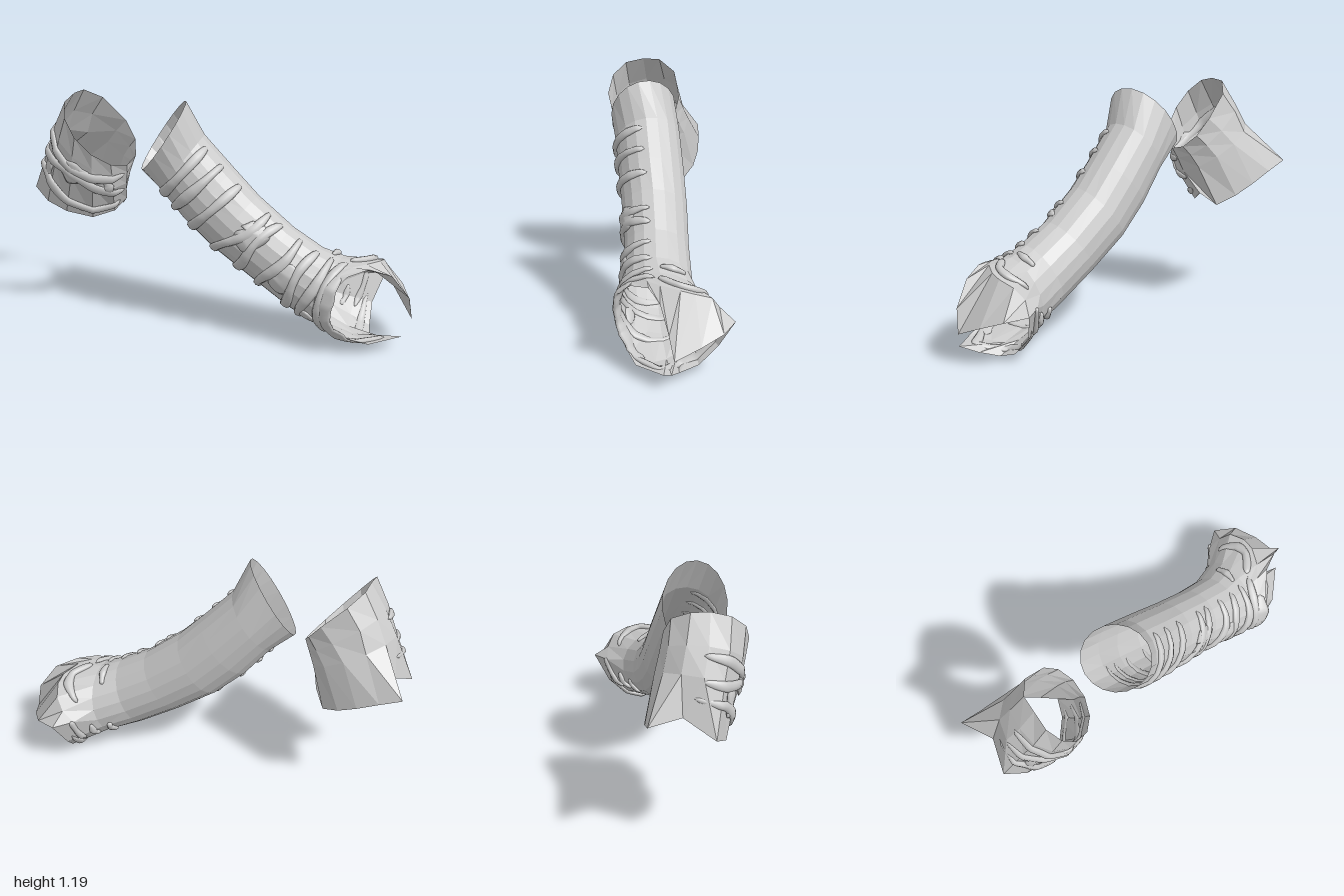
import * as THREE from 'three';

const V = (p) => new THREE.Vector3(...p);
const clothMat = new THREE.MeshStandardMaterial({ color: 0xcccccc, flatShading: true, side: THREE.DoubleSide });
const cordMat = new THREE.MeshStandardMaterial({ color: 0xcccccc, side: THREE.DoubleSide });

// Elliptical ring from a centre and two half-axes
function ring(n, c, u, w) {
  return Array.from({ length: n }, (_, i) => {
    const a = (i / n) * Math.PI * 2;
    return V(c).addScaledVector(V(u), Math.cos(a)).addScaledVector(V(w), Math.sin(a));
  });
}

// Grid of point rows to a mesh; rows wrap around
function loft(rows, mat, name) {
  const n = rows[0].length, pos = [], idx = [];
  rows.forEach((r) => r.forEach((p) => pos.push(p.x, p.y, p.z)));
  for (let j = 0; j < rows.length - 1; j++) {
    for (let i = 0; i < n; i++) {
      const a = j * n + i, b = j * n + ((i + 1) % n);
      idx.push(a, a + n, b, b, a + n, b + n);
    }
  }
  const g = new THREE.BufferGeometry();
  g.setAttribute('position', new THREE.Float32BufferAttribute(pos, 3));
  g.setIndex(idx);
  g.computeVertexNormals();
  const m = new THREE.Mesh(g, mat);
  m.name = name;
  return m;
}

// Point on a sleeve at ring position t and angle a in degrees
function surface(rows) {
  const n = rows[0].length;
  return (t, a) => {
    t = Math.min(Math.max(t, 0), rows.length - 1);
    const j = Math.min(Math.floor(t), rows.length - 2);
    const k = (((a / 360) * n) % n + n) % n, i = Math.floor(k) % n, f = k - Math.floor(k);
    const at = (r) => r[i].clone().lerp(r[(i + 1) % n], f);
    return at(rows[j]).lerp(at(rows[j + 1]), t - j);
  };
}

function middle(row) {
  return row.reduce((s, p) => s.add(p), new THREE.Vector3()).divideScalar(row.length);
}

// Raised cord lying on a sleeve, along a path of [t, angle] points
function cord(rows, path, w = 0.026, h = 0.02, name = 'cord') {
  const S = surface(rows), steps = 28, sides = 8;
  const curve = new THREE.CatmullRomCurve3(path.map(([t, a]) => new THREE.Vector3(t, a / 60, 0)));
  const at = (s) => {
    const q = curve.getPoint(Math.min(Math.max(s, 0), 1));
    return [q.x, q.y * 60];
  };
  const out = [];
  for (let k = 0; k <= steps; k++) {
    const s = k / steps, [t, a] = at(s), P = S(t, a);
    const tan = S(...at(s + 0.04)).sub(S(...at(s - 0.04))).normalize();
    const N = S(t, a + 8).sub(S(t, a - 8)).cross(S(t + 0.15, a).sub(S(t - 0.15, a))).normalize();
    const c = middle(rows[Math.round(Math.min(Math.max(t, 0), rows.length - 1))]);
    if (N.dot(P.clone().sub(c)) < 0) N.negate();
    const side = tan.clone().cross(N).normalize();
    const taper = Math.max(0.02, Math.pow(Math.sin(Math.PI * s), 0.3));
    const wide = w * taper * (1 + 0.15 * Math.sin(s * 11 + path[0][0] * 5));
    out.push(Array.from({ length: sides }, (_, i) => {
      const f = (i / sides) * Math.PI * 2;
      return P.clone().addScaledVector(side, wide * Math.cos(f))
        .addScaledVector(N, h * taper * (Math.sin(f) * 0.75 + 0.25));
    }));
  }
  return loft(out, cordMat, name);
}

function longSleeve() {
  const n = 18, g = new THREE.Group();
  g.name = 'longSleeve';
  // centre, upward half-axis, forward half-axis
  const rows = [
    [[-0.25, 1.015, 0.14], [0.13, 0.175, 0.015], [0.045, -0.04, 0.16]],
    [[-0.16, 0.88, 0.11], [0.11, 0.14, 0], [0.02, -0.02, 0.165]],
    [[-0.025, 0.72, 0.08], [0.125, 0.135, 0], [0.01, -0.01, 0.167]],
    [[0.11, 0.585, 0.055], [0.11, 0.143, 0], [0.01, 0, 0.165]],
    [[0.3, 0.44, 0.03], [0.1, 0.14, 0], [0.01, 0, 0.16]],
    [[0.475, 0.33, 0.015], [0.075, 0.16, 0], [0.01, 0, 0.17]],
    [[0.6, 0.275, -0.01], [0.05, 0.175, 0], [0, 0, 0.2]],
  ].map((r) => ring(n, ...r));
  // Cuff edge: thumb notch at the front, slanted hand opening behind
  const rim = [
    [0.91, 0.39, -0.03], [0.81, 0.43, 0.03], [0.73, 0.41, 0.12], [0.68, 0.35, 0.19], [0.66, 0.25, 0.2],
    [0.67, 0.16, 0.18], [0.72, 0.1, 0.15], [0.84, 0.06, 0.09], [0.97, 0.07, -0.05], [0.88, 0.03, -0.08],
    [0.78, 0, -0.11], [0.75, 0.03, -0.2], [0.73, 0.12, -0.29], [0.77, 0.26, -0.37], [0.88, 0.24, -0.32],
    [0.95, 0.2, -0.22], [1, 0.15, -0.1], [0.99, 0.27, -0.075],
  ].map(V);
  // Ring between wrist and cuff edge, swelling over the hand: [dy, dz] by index
  const swell = {
    0: [0.015, 0], 7: [-0.025, 0.01], 8: [-0.045, 0], 9: [-0.025, 0],
    13: [0.02, -0.01], 14: [0.05, -0.03], 15: [0.1, -0.06], 16: [0.13, -0.065], 17: [0.07, -0.04],
  };
  rows.push(rows[6].map((p, i) => p.clone().lerp(rim[i], 0.5).add(V([0, ...(swell[i] || [0, 0])]))), rim);
  g.add(loft(rows, clothMat, 'longSleeveCloth'));

  // Cords across the front: t at the top end, t at the bottom end
  [[1.22, 1.1], [1.75, 1.55], [2.45, 2.2], [3.45, 3.0], [3.8, 3.5], [4.4, 4.2], [5.0, 4.8], [5.7, 5.4], [6.4, 6.2]]
    .forEach(([t0, t1], i) => {
      const bend = i > 2 ? 0.08 * (i % 2 ? 1 : -1) : 0;
      g.add(cord(rows, [[t0, 7], [t0 * 0.7 + t1 * 0.3 + bend, 65], [t0 * 0.3 + t1 * 0.7 - bend, 125], [t1, 195]]));
    });
  // Webs joining neighbouring cords, and the broad patch around the thumb notch
  g.add(cord(rows, [[3.4, 40], [3.5, 65], [3.35, 95]], 0.07, 0.016, 'cordWeb'));
  g.add(cord(rows, [[4.65, 60], [4.65, 90], [4.5, 120]], 0.06, 0.016, 'cordWeb'));
  g.add(cord(rows, [[5.3, 125], [5.6, 128], [6.1, 130]], 0.035, 0.016, 'cordWeb'));
  g.add(cord(rows, [[7.2, 40], [7.1, 70], [7.1, 110], [7.2, 150]], 0.05, 0.018, 'notchPatch'));
  g.add(cord(rows, [[7.4, 135], [7.5, 165], [7.5, 200], [7.6, 245]], 0.025, 0.018, 'cuffCord'));
  // Short cords on the top and back of the wrist
  g.add(cord(rows, [[5.6, 358], [5.65, 338], [5.6, 318]], 0.018, 0.02, 'wristCord'));
  g.add(cord(rows, [[6.4, 362], [6.7, 342], [6.7, 320], [6.45, 292]], 0.024, 0.022, 'wristCord'));
  [[5.7, 215, 245], [6.4, 225, 252], [7.1, 230, 262]].forEach(([t, a, b]) =>
    g.add(cord(rows, [[t, a], [t + 0.1, (a + b) / 2], [t, b]], 0.018, 0.018, 'wristCord')));
  return g;
}

function shortSleeve() {
  const n = 12, g = new THREE.Group();
  g.name = 'shortSleeve';
  const rows = [
    ring(n, [-0.59, 1.015, 0.17], [0.14, -0.175, -0.01], [-0.04, 0, 0.195]),
    ring(n, [-0.64, 0.925, 0.15], [0.175, -0.135, -0.02], [-0.02, -0.02, 0.195]),
    ring(n, [-0.685, 0.83, 0.125], [0.2, -0.11, -0.02], [0, -0.04, 0.195]),
    // Lower edge: straight at the front, pointed at the back corner
    [
      [-0.53, 0.61, 0.02], [-0.56, 0.56, 0.1], [-0.64, 0.54, 0.19], [-0.76, 0.575, 0.25],
      [-0.87, 0.615, 0.25], [-0.97, 0.665, 0.2], [-0.92, 0.76, 0.05], [-1, 0.755, -0.11],
      [-0.89, 0.71, -0.12], [-0.78, 0.655, -0.12], [-0.68, 0.6, -0.1], [-0.59, 0.55, -0.05],
    ].map(V),
  ];
  // Squarer back-left side of the upper opening
  rows[0][7].add(V([-0.035, 0.02, 0.01]));
  rows[0][8].add(V([-0.04, 0.03, 0]));
  rows[1][7].add(V([-0.02, 0.01, 0]));
  rows[1][8].add(V([-0.03, 0.02, 0]));
  g.add(loft(rows, clothMat, 'shortSleeveCloth'));
  // Cords across the front
  g.add(cord(rows, [[1.1, 5], [1.45, 50], [1.6, 95], [1.35, 140], [1.3, 185]]));
  g.add(cord(rows, [[2.3, 5], [2.1, 45], [1.85, 90], [2.05, 135], [2.1, 180]]));
  g.add(cord(rows, [[2.75, 15], [2.75, 60], [2.65, 100], [2.4, 140], [2.5, 180]]));
  g.add(cord(rows, [[1.65, 65], [1.75, 88], [1.75, 115]], 0.06, 0.016, 'cordWeb'));
  g.add(cord(rows, [[1.5, 38], [1.85, 36], [2.3, 34]], 0.025, 0.016, 'cordWeb'));
  g.add(cord(rows, [[2.0, 130], [2.25, 132], [2.6, 128]], 0.03, 0.016, 'cordWeb'));
  return g;
}

export function createModel() {
  const model = new THREE.Group();
  model.name = 'sleevePair';
  model.add(longSleeve(), shortSleeve());
  return model;
}
